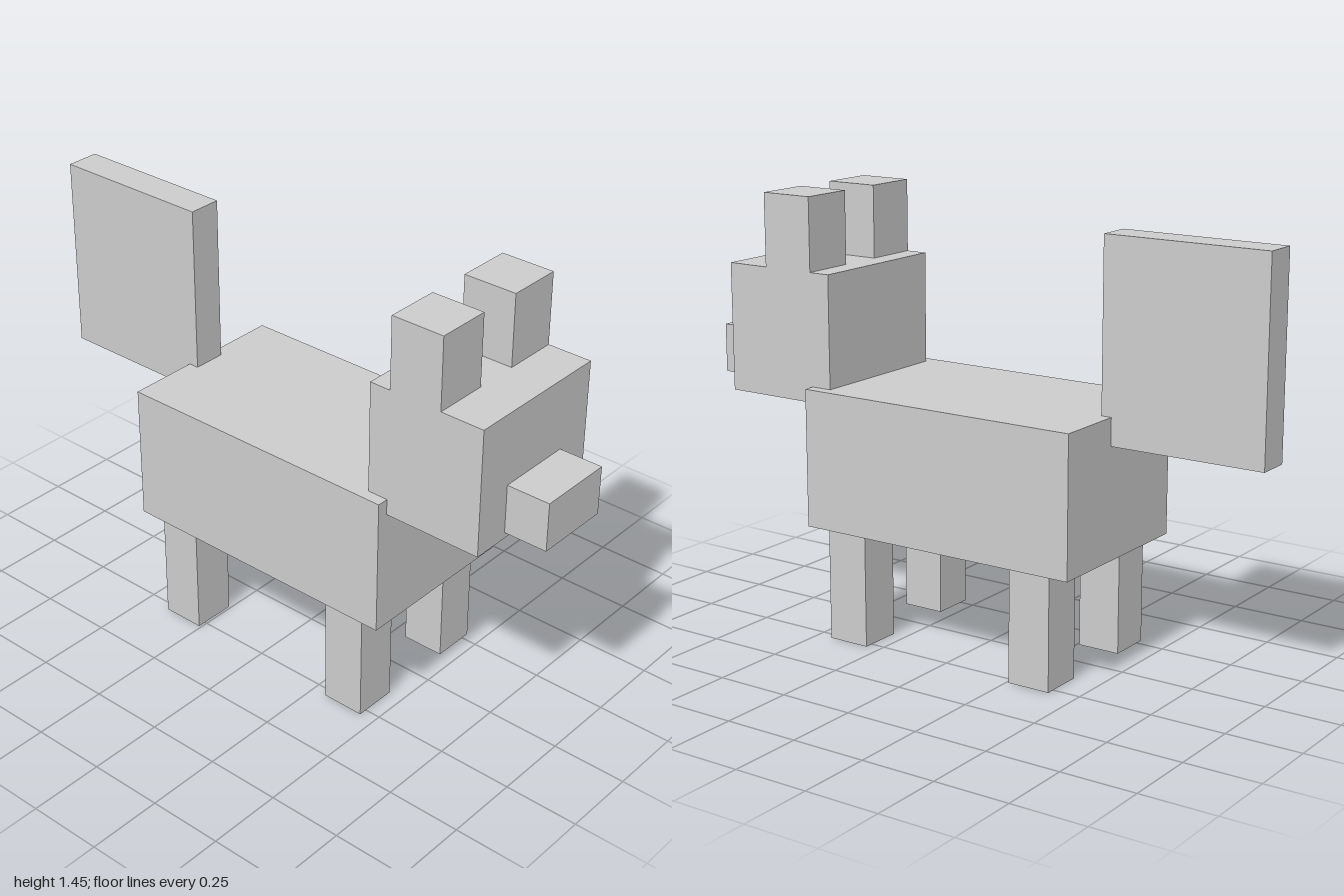
import * as THREE from 'three';

export function createModel() {
  const model = new THREE.Group();
  model.name = 'blockyDog';
  const material = new THREE.MeshStandardMaterial({ color: 0xcccccc, flatShading: true });

  // Box given by its extents along each axis
  function block(name, [x0, x1], [y0, y1], [z0, z1]) {
    const mesh = new THREE.Mesh(new THREE.BoxGeometry(x1 - x0, y1 - y0, z1 - z0), material);
    mesh.position.set((x0 + x1) / 2, (y0 + y1) / 2, (z0 + z1) / 2);
    mesh.name = name;
    model.add(mesh);
  }

  // Trunk, head and tail on the centre line
  block('body', [-0.296, 0.296], [0.375, 0.833], [-0.48, 0.518]);
  block('head', [-0.258, 0.258], [0.78, 1.205], [0.447, 0.853]);
  block('snout', [-0.13, 0.13], [0.8, 0.963], [0.853, 1]);
  block('tail', [-0.056, 0.056], [0.742, 1.39], [-1, -0.445]);

  // Mirrored ears and legs
  for (const [side, s] of [['left', 1], ['right', -1]]) {
    const span = (inner, outer) => (s > 0 ? [inner, outer] : [-outer, -inner]);
    block(side + 'Ear', span(0.074, 0.258), [1.205, 1.446], [0.52, 0.703]);
    block(side + 'FrontLeg', span(0.131, 0.278), [0, 0.375], [0.3, 0.446]);
    block(side + 'BackLeg', span(0.131, 0.278), [0, 0.375], [-0.404, -0.258]);
  }

  return model;
}
